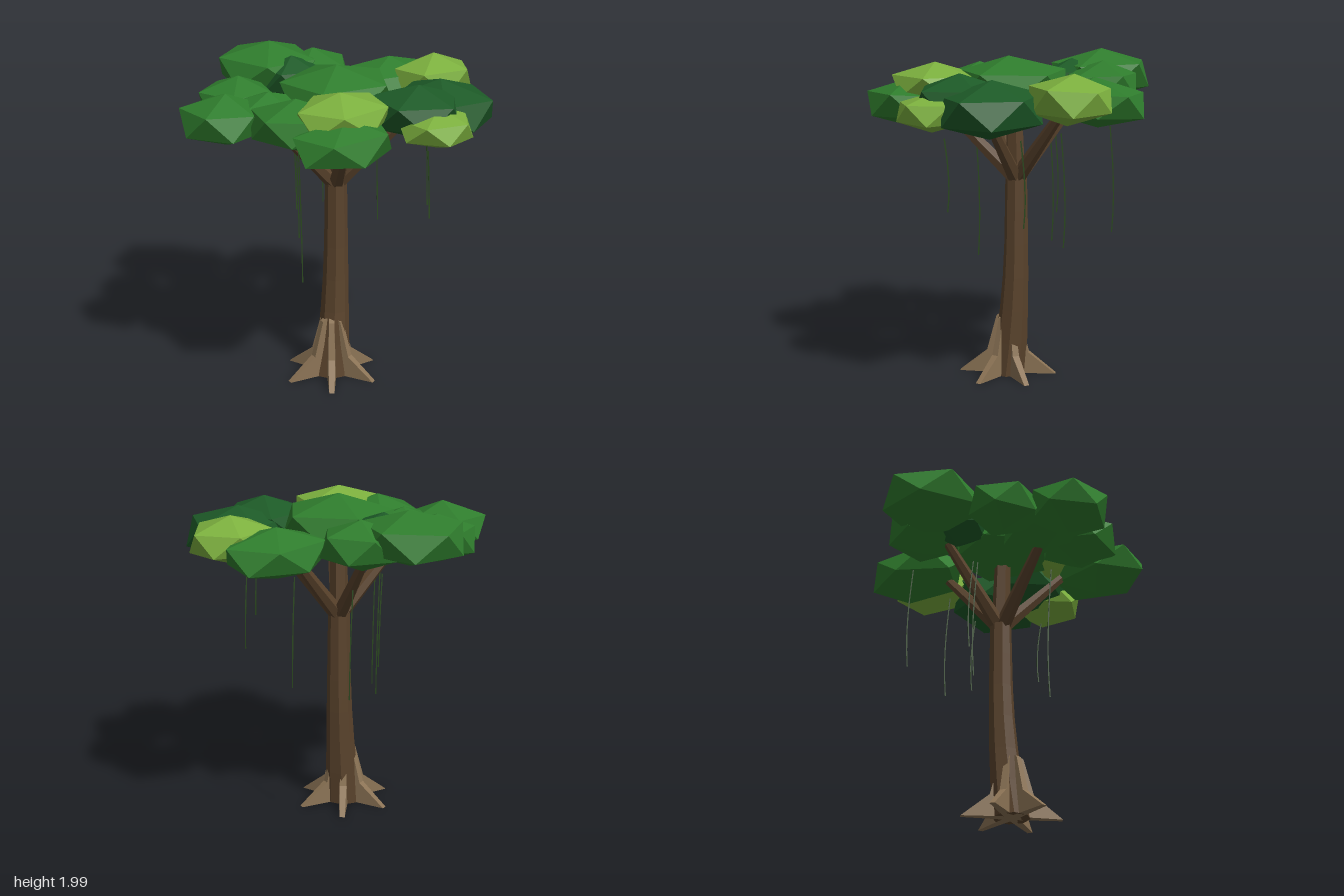
import * as THREE from 'three';
import { ConvexGeometry } from 'three/addons/geometries/ConvexGeometry.js';

const paint = (color) => new THREE.MeshStandardMaterial({ color, flatShading: true });
const BARK = paint(0x5a432c);
const ROOT = paint(0x8b7355);
const VINE = paint(0x2c4a20);
const LEAF = { green: paint(0x2f7d2d), dark: paint(0x1d5a27), lime: paint(0x7cb03e) };

// small seeded generator for the irregular leaf clumps
let seed = 7;
const jitter = (amount) => {
  seed = (seed * 16807) % 2147483647;
  return (seed / 2147483647 - 0.5) * 2 * amount;
};

function add(parent, geometry, material, name) {
  const mesh = new THREE.Mesh(geometry, material);
  mesh.name = name;
  parent.add(mesh);
  return mesh;
}

function addGroup(parent, name) {
  const group = new THREE.Group();
  group.name = name;
  parent.add(group);
  return group;
}

// Leaf clump: squashed twenty-sided solid with a vertex on top
function clumpGeometry(rx, ry, rz, yaw) {
  const points = [new THREE.Vector3(jitter(0.02), ry, jitter(0.02)), new THREE.Vector3(jitter(0.02), -ry, jitter(0.02))];
  for (let i = 0; i < 10; i++) {
    const a = yaw + (i * Math.PI) / 5;
    const r = 1.02 + jitter(0.03);
    const y = (i % 2 ? -0.447 : 0.447) * ry + jitter(0.008);
    points.push(new THREE.Vector3(Math.cos(a) * rx * r, y, Math.sin(a) * rz * r));
  }
  return new ConvexGeometry(points);
}

// Straight tapered limb between two points
function limb(parent, from, to, r0, r1, name) {
  const a = new THREE.Vector3(...from);
  const b = new THREE.Vector3(...to);
  const mesh = add(parent, new THREE.CylinderGeometry(r1, r0, a.distanceTo(b), 6), BARK, name);
  mesh.position.copy(a).lerp(b, 0.5);
  mesh.quaternion.setFromUnitVectors(new THREE.Vector3(0, 1, 0), b.sub(a).normalize());
}

export function createModel() {
  const tree = new THREE.Group();
  tree.name = 'tree';

  // Trunk: cylinder leaning in a gentle curve, flared at the foot
  const trunk = new THREE.CylinderGeometry(0.066, 0.088, 1.25, 8, 6);
  trunk.translate(0, 0.635, 0);
  const p = trunk.attributes.position;
  for (let i = 0; i < p.count; i++) {
    const low = Math.max(0, 1 - p.getY(i) / 0.9) ** 2;
    const flare = 1 + 0.3 * low;
    p.setX(i, p.getX(i) * flare - 0.02 - 0.06 * low);
    p.setZ(i, p.getZ(i) * flare + 0.034 + 0.021 * low);
  }
  add(tree, trunk, BARK, 'trunk');

  // Branches: central leader and five spokes
  const branches = addGroup(tree, 'branches');
  limb(branches, [-0.02, 1.24, 0.035], [-0.03, 1.75, 0.045], 0.06, 0.05, 'leader');
  for (const end of [
    [-0.47, 1.73, -0.1], [-0.29, 1.71, 0.4], [0.19, 1.71, 0.43], [0.4, 1.72, 0.0], [0.11, 1.74, -0.36],
  ]) limb(branches, [-0.02, 1.24, 0.035], end, 0.05, 0.026, 'branch');

  // Buttress roots: concave fins around the foot, thinning outward and upward
  const fin = new THREE.Shape([
    [0, 0], [0.3, 0], [0.13, 0.135], [0.07, 0.36], [0, 0.4],
  ].map(([x, y]) => new THREE.Vector2(x, y)));
  const finGeometry = new THREE.ExtrudeGeometry(fin, { depth: 0.065, bevelEnabled: false });
  finGeometry.translate(0, 0, -0.0325);
  const f = finGeometry.attributes.position;
  for (let i = 0; i < f.count; i++) f.setZ(i, f.getZ(i) * (1 - 1.7 * f.getX(i)) * (1 - 1.2 * f.getY(i)));
  const roots = addGroup(tree, 'roots');
  for (let i = 0; i < 6; i++) {
    const root = add(roots, finGeometry, ROOT, 'root');
    root.position.set(-0.08, 0.01, 0.055);
    root.rotation.y = -0.26 - (i * Math.PI) / 3;
  }

  // Canopy clumps: x, y, z, half width, half height, half depth, yaw, colour
  const clumps = [
    [-0.03, 1.82, 0.05, 0.335, 0.165, 0.31, 0.05, 'green'],
    [0.015, 1.84, -0.6, 0.285, 0.16, 0.31, -0.17, 'green'],
    [0.225, 1.8, -0.41, 0.23, 0.15, 0.225, 0.1, 'green'],
    [-0.395, 1.745, -0.42, 0.21, 0.145, 0.225, -0.1, 'green'],
    [-0.7, 1.74, -0.2, 0.225, 0.15, 0.24, 0.18, 'green'],
    [-0.445, 1.74, -0.11, 0.24, 0.13, 0.215, 0.3, 'green'],
    [-0.515, 1.75, 0.18, 0.225, 0.15, 0.245, 0.5, 'green'],
    [-0.45, 1.7, 0.51, 0.3, 0.145, 0.23, -0.1, 'green'],
    [0.575, 1.755, -0.09, 0.31, 0.145, 0.245, 0.2, 'green'],
    [0.12, 1.77, 0.53, 0.255, 0.155, 0.265, 0.3, 'dark'],
    [0.38, 1.74, 0.52, 0.27, 0.165, 0.3, -0.05, 'dark'],
    [0.015, 1.81, -0.37, 0.18, 0.14, 0.18, 0.2, 'dark'],
    [-0.34, 1.81, 0.4, 0.28, 0.135, 0.23, -0.28, 'lime'],
    [0.67, 1.8, 0.19, 0.25, 0.145, 0.215, 0.08, 'lime'],
    [0.09, 1.715, 0.71, 0.21, 0.115, 0.205, 0.15, 'lime'],
  ];
  const canopy = addGroup(tree, 'canopy');
  for (const [x, y, z, rx, ry, rz, yaw, tone] of clumps) {
    add(canopy, clumpGeometry(rx, ry, rz, yaw), LEAF[tone], 'leafClump').position.set(x, y, z);
  }

  // Hanging vines: x, z, lower end
  const vines = addGroup(tree, 'vines');
  const top = 1.56;
  for (const [x, z, low] of [
    [-0.375, 0.08, 0.71], [0.105, 0.645, 1.14], [0.305, -0.43, 0.91], [0.362, 0.0, 0.885],
    [0.43, 0.35, 1.06], [-0.07, -0.265, 0.81], [-0.06, -0.295, 0.99],
  ]) {
    const path = new THREE.CatmullRomCurve3([
      new THREE.Vector3(x, top, z),
      new THREE.Vector3(x + 0.022, top + (low - top) * 0.4, z - 0.008),
      new THREE.Vector3(x + 0.03, top + (low - top) * 0.75, z - 0.008),
      new THREE.Vector3(x + 0.026, low, z),
    ]);
    add(vines, new THREE.TubeGeometry(path, 6, 0.005, 4), VINE, 'vine');
  }
  return tree;
}
